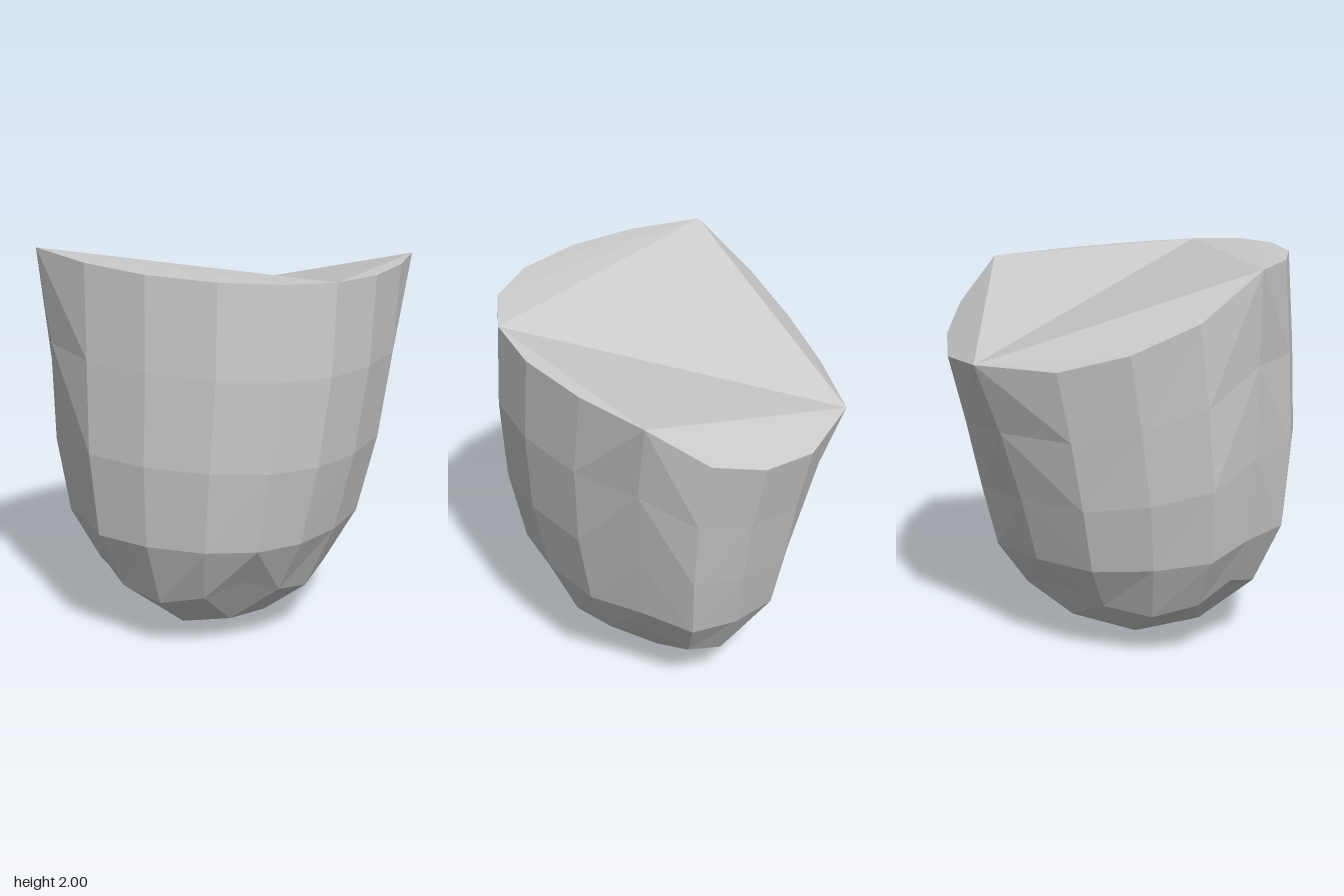
import * as THREE from 'three';

// Uneven top rim: 16 points, counterclockwise from the front corner at -x
const RIM = [
  [-0.66, 2.0, 0.72], [-0.3, 1.99, 0.83], [0.05, 1.98, 0.85], [0.39, 1.97, 0.77],
  [0.64, 1.955, 0.6], [0.78, 1.93, 0.35], [0.82, 1.9, 0.02], [0.77, 1.87, -0.36],
  [0.66, 1.84, -0.73], [0.4, 1.63, -0.88], [0.1, 1.52, -0.9], [-0.22, 1.47, -0.84],
  [-0.58, 1.51, -0.65], [-0.76, 1.52, -0.23], [-0.82, 1.62, 0.12], [-0.8, 1.77, 0.44],
];
const N = RIM.length;
const SHARP = [0, 8, 12]; // corners that only stick out at the rim

// Wall rings from bottom to rim: height share, x scale, z scale, x shift, z shift, corner pull
const RINGS = [
  [0, 0.65, 0.7, -0.01, 0.125, 0.93],
  [0.21, 0.83, 0.87, 0, 0.12, 0.88],
  [0.46, 0.93, 0.937, 0.01, 0.1, 0.895],
  [0.73, 0.98, 0.97, 0.015, 0.055, 0.94],
  [1, 1, 1, 0, 0, 1],
];

function ringPoint([t, sx, sz, dx, dz, pull], i) {
  const [rx, ry, rz] = RIM[i];
  const base = 0.25 + 0.038 * rx * 0.65 + 0.055 * rz * 0.7;
  // the lowest ring rises towards its four corners
  const lift = t === 0 ? [0.13, 0.05, 0, 0.05][i % 4] : 0;
  const k = SHARP.includes(i) ? pull : 1;
  return [rx * sx * k + dx, base + (ry - base) * t + lift, rz * sz * k + dz];
}

// Flat-shaded mesh from shared points and triangle indices
function facetMesh(name, points, index) {
  const indexed = new THREE.BufferGeometry();
  indexed.setAttribute('position', new THREE.Float32BufferAttribute(points.flat(), 3));
  indexed.setIndex(index);
  const geometry = indexed.toNonIndexed();
  geometry.computeVertexNormals();
  const material = new THREE.MeshStandardMaterial({ color: 0xcccccc, flatShading: true });
  const mesh = new THREE.Mesh(geometry, material);
  mesh.name = name;
  return mesh;
}

// Tapering side wall
function createWall() {
  const points = [], index = [];
  RINGS.forEach((ring) => RIM.forEach((_, i) => points.push(ringPoint(ring, i))));
  for (let r = 0; r < RINGS.length - 1; r++) {
    for (let i = 0; i < N; i++) {
      const j = (i + 1) % N;
      const a = r * N + i, b = r * N + j, c = b + N, d = a + N;
      // diagonals fan down from the corners
      if (i % 4 === 0) index.push(a, b, d, b, c, d);
      else index.push(a, b, c, a, c, d);
    }
  }
  return facetMesh('sideWall', points, index);
}

// Rounded underside: a 4 x 4 patch whose border is the lowest ring
function createUnderside() {
  const points = [], index = [];
  const borderIndex = (c, r) => {
    if (r === 4) return c;
    if (c === 4) return 8 - r;
    if (r === 0) return 12 - c;
    return 12 + r;
  };
  for (let r = 0; r <= 4; r++) {
    for (let c = 0; c <= 4; c++) {
      if (r % 4 === 0 || c % 4 === 0) {
        points.push(ringPoint(RINGS[0], borderIndex(c, r)));
        continue;
      }
      const u = c - 2, v = r - 2, corner = u !== 0 && v !== 0;
      const s = corner ? 0.95 : 1;
      const y = corner ? 0.14 : 0.065 * (Math.abs(u) + Math.abs(v));
      points.push([-0.015 + 0.285 * u * s, y, 0.11 + 0.34 * v * s]);
    }
  }
  for (let r = 0; r < 4; r++) {
    for (let c = 0; c < 4; c++) {
      const a = r * 5 + c, b = a + 1, d = a + 5, e = d + 1;
      // split each quad along the diagonal running out from the centre
      if ((r < 2) === (c < 2)) index.push(a, b, e, a, e, d);
      else index.push(a, b, d, b, e, d);
    }
  }
  return facetMesh('underside', points, index);
}

// Broken top: two large facets with a shallow valley, and a fan along each side
function createTop() {
  const index = [0, 5, 12, 5, 8, 12];
  for (const [from, to] of [[0, 5], [5, 8], [8, 12], [12, 16]]) {
    for (let i = from + 1; i < to; i++) index.push(from, i, (i + 1) % N);
  }
  return facetMesh('topFacets', RIM, index);
}

export function createModel() {
  const group = new THREE.Group();
  group.name = 'facetedStump';
  group.add(createWall(), createUnderside(), createTop());
  return group;
}
